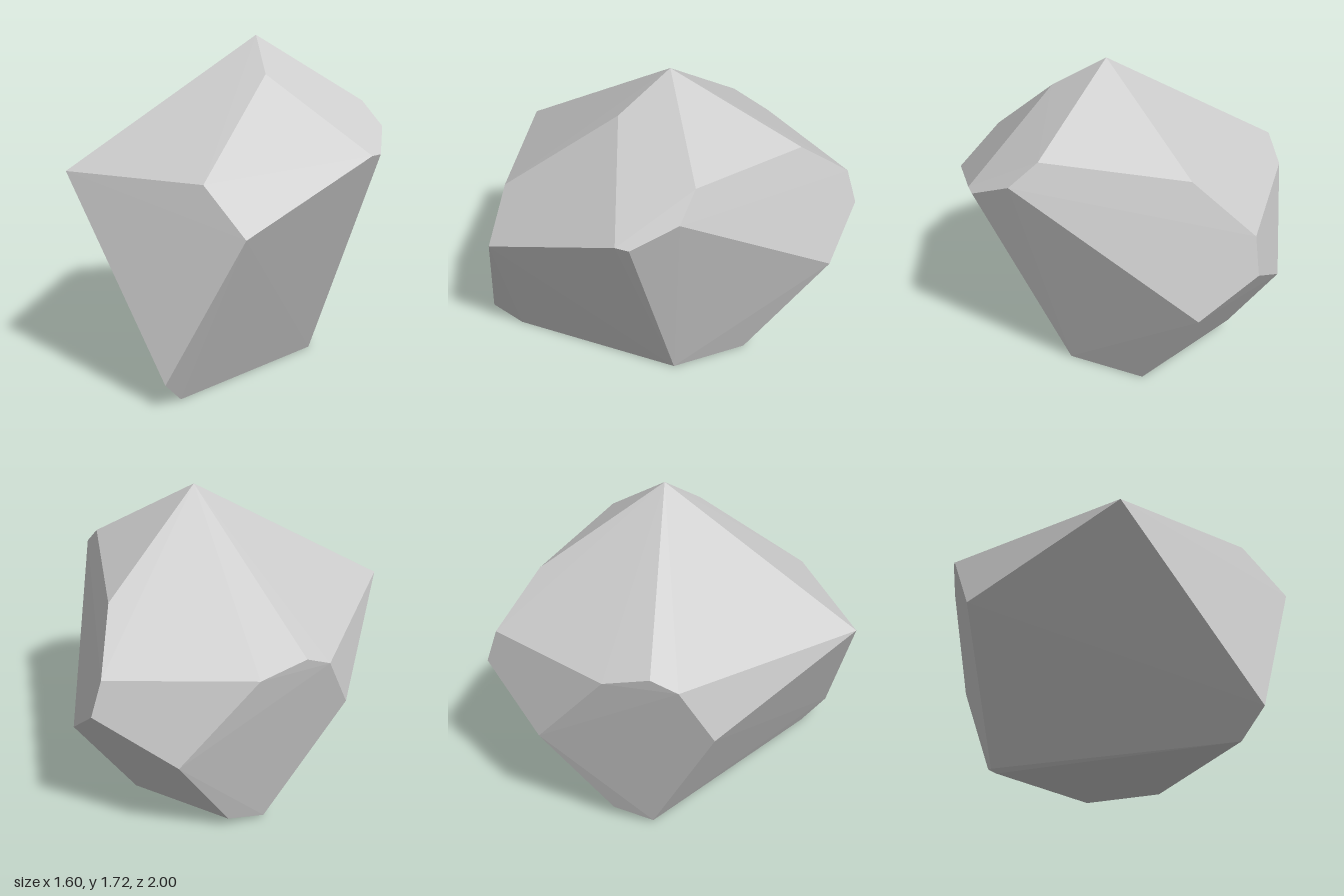
import * as THREE from 'three';
import { ConvexGeometry } from 'three/addons/geometries/ConvexGeometry.js';

// Corners of the faceted boulder, grouped by height
const crown = [
  [0.12, 1.72, 0], [0.21, 1.535, 0.28], [0.69, 1.38, 0], [0.33, 1.31, -0.64],
];
const shoulder = [
  [0, 1.07, 0.86], [-0.745, 1.07, 0.62], [0.22, 0.845, 0.98],
  [0.76, 1.15, 0.4], [0.8, 1.15, 0.34], [0.8, 1.26, 0.1],
  [0.24, 1.07, -0.95], [-0.47, 1.075, -0.72], [-0.65, 1.14, -0.56], [-0.74, 1.08, -0.46],
];
const belly = [
  [0.28, 0.885, -1], [0.49, 0.65, -0.8], [-0.13, 0.625, -0.92], [-0.8, 0.77, -0.29],
];
const foot = [
  [-0.16, 0.13, 1], [-0.12, 0, 0.85], [0.43, 0, 0.04], [0.35, 0, -0.39],
  [-0.27, 0.08, -0.58], [-0.42, 0.02, -0.42], [-0.39, 0, -0.41],
];

export function createModel() {
  const group = new THREE.Group();
  group.name = 'rock';

  // Solid boulder wrapped tightly around its corners
  const corners = [...crown, ...shoulder, ...belly, ...foot].map((p) => new THREE.Vector3(...p));
  const boulder = new THREE.Mesh(
    new ConvexGeometry(corners),
    new THREE.MeshStandardMaterial({ color: 0xcccccc, flatShading: true }),
  );
  boulder.name = 'boulder';
  group.add(boulder);
  return group;
}
